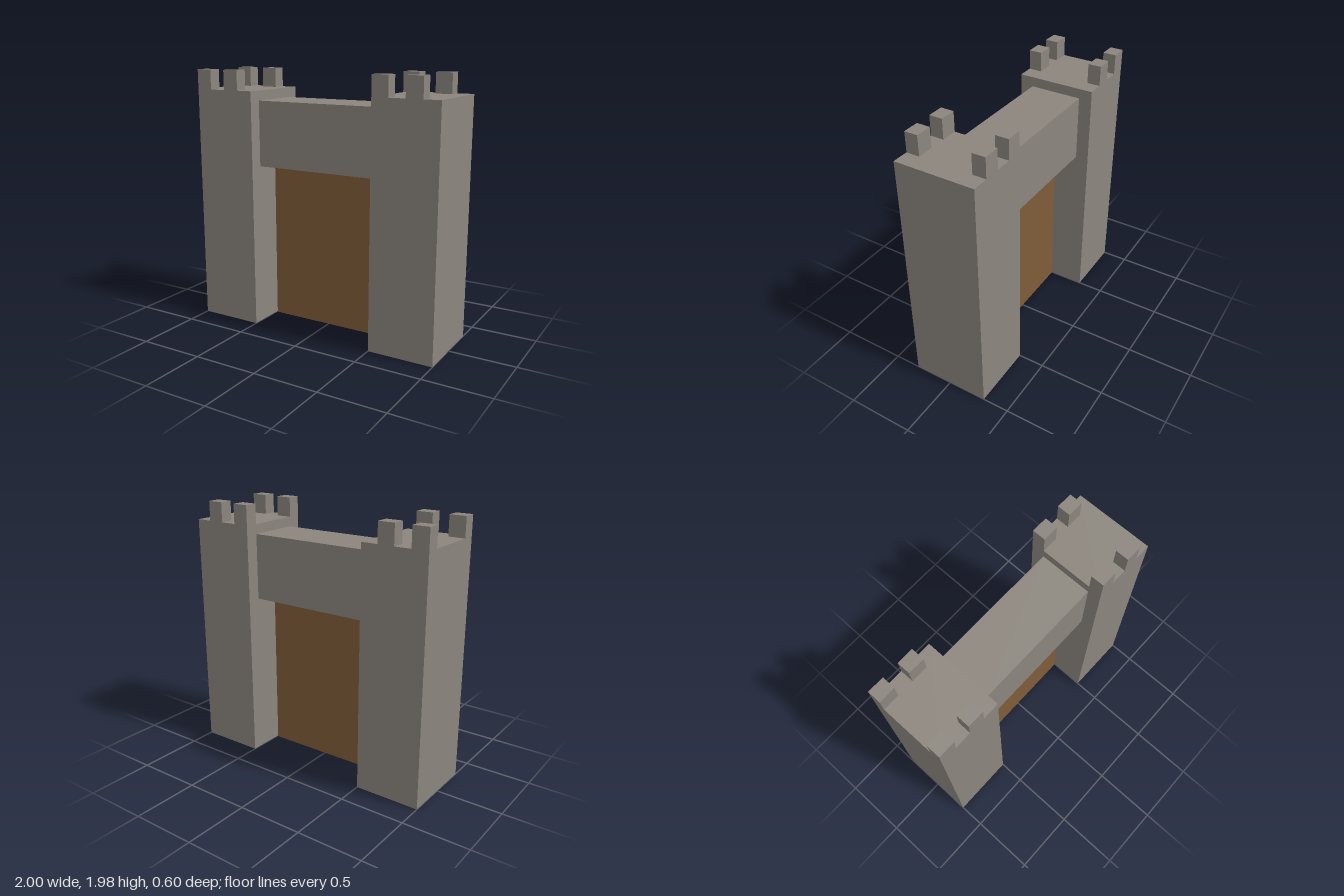
import * as THREE from 'three';

export function createModel() {
  const model = new THREE.Group();
  model.name = 'castleGate';

  const stone = new THREE.MeshStandardMaterial({ color: 0x8b857d });
  stone.name = 'stone';
  const wood = new THREE.MeshStandardMaterial({ color: 0x7f5c39 });
  wood.name = 'wood';

  // Box standing on its base at height y
  const block = (name, material, [w, h, d], [x, y, z], parent) => {
    const mesh = new THREE.Mesh(new THREE.BoxGeometry(w, h, d), material);
    mesh.name = name;
    mesh.position.set(x, y + h / 2, z);
    parent.add(mesh);
  };

  // Two towers, each with two merlons along the front and back edges
  const towerHeight = 1.825;
  for (const [name, x] of [['rightTower', -0.75], ['leftTower', 0.75]]) {
    const tower = new THREE.Group();
    tower.name = name;
    tower.position.x = x;
    block('towerBody', stone, [0.5, towerHeight, 0.6], [0, 0, 0], tower);
    for (const mx of [-0.1875, 0.0625]) {
      for (const mz of [-0.25, 0.25]) {
        block('merlon', stone, [0.125, 0.15, 0.1], [mx, towerHeight, mz], tower);
      }
    }
    model.add(tower);
  }

  // Wall bridging the towers above the gate
  block('lintel', stone, [1, 0.5, 0.4], [0, 1.25, 0], model);

  // Wooden door with a narrow gap at its sides
  block('door', wood, [0.97, 1.245, 0.05], [0, 0.005, 0], model);

  return model;
}
